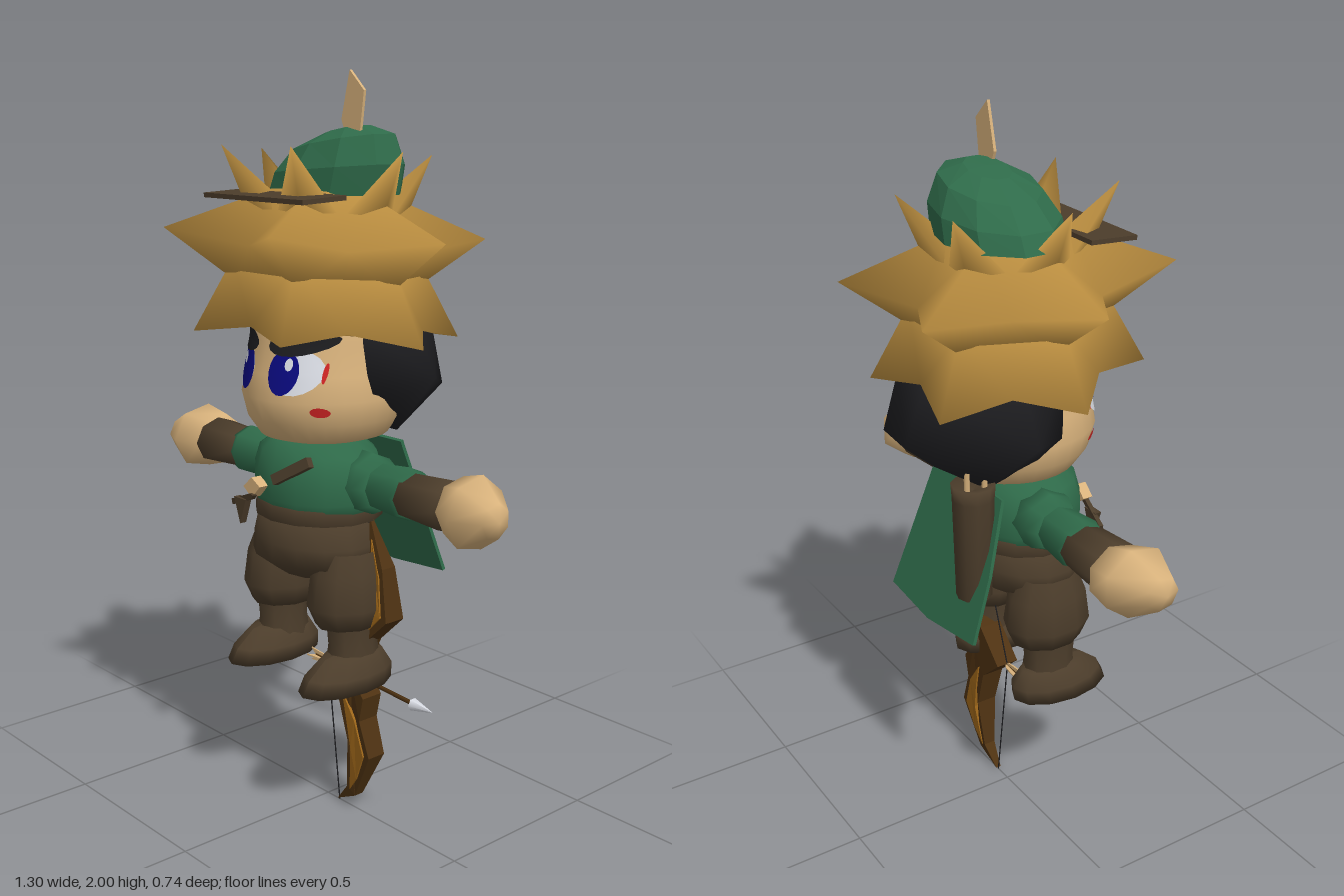
import * as THREE from 'three';
import { ConvexGeometry } from 'three/addons/geometries/ConvexGeometry.js';
import { mergeVertices } from 'three/addons/utils/BufferGeometryUtils.js';

const mat = (name, color) => {
  const m = new THREE.MeshStandardMaterial({ color });
  m.name = name;
  return m;
};
const V = (x, y, z) => new THREE.Vector3(x, y, z);

export function createModel() {
  const M = {
    skin: mat('skin', 0xd8b27c), hair: mat('golden hair', 0xbb8e40), green: mat('green cloth', 0x2f6b4a),
    brown: mat('brown leather', 0x4c3d2b), black: mat('black', 0x1d1d20), navy: mat('iris blue', 0x0a0a80),
    white: mat('pale white', 0xdfe2ea), red: mat('cheek red', 0xd02424), wood: mat('dark bow wood', 0x4e3212),
    amber: mat('amber bow wood', 0xa0681a),
  };
  const model = new THREE.Group();
  const add = (name, geo, material, pos = [0, 0, 0], rot = [0, 0, 0], parent = model) => {
    const m = new THREE.Mesh(geo, material);
    m.name = name;
    m.position.set(...pos);
    m.rotation.set(...rot);
    parent.add(m);
    return m;
  };
  const lathe = (pts, seg = 12, sx = 1, sz = 1) =>
    new THREE.LatheGeometry(pts.map(p => new THREE.Vector2(...p)), seg).scale(sx, 1, sz);
  // Apply a rule to every vertex, then refresh the normals
  const bend = (geo, rule) => {
    const p = geo.attributes.position, v = V(0, 0, 0);
    for (let i = 0; i < p.count; i++) {
      rule(v.fromBufferAttribute(p, i));
      p.setXYZ(i, v.x, v.y, v.z);
    }
    geo.computeVertexNormals();
    return geo;
  };
  // Weld corners so normals blend
  const smooth = (geo) => {
    geo.deleteAttribute('normal');
    geo.deleteAttribute('uv');
    const g = mergeVertices(geo, 1e-4);
    g.computeVertexNormals();
    return g;
  };
  const plate = (pts, depth) => new THREE.ExtrudeGeometry(
    new THREE.Shape(pts.map(p => new THREE.Vector2(...p))), { depth, bevelEnabled: false }).translate(0, 0, -depth / 2);
  const rod = (name, a, b, r, material) => {
    const d = b.clone().sub(a);
    const m = add(name, new THREE.CylinderGeometry(r, r, d.length(), 5), material);
    m.position.copy(a).addScaledVector(d, 0.5);
    m.quaternion.setFromUnitVectors(V(0, 1, 0), d.normalize());
  };

  // Head: full cheeks low down, narrower brow
  const face = [[0, 1.055], [0.11, 1.058], [0.165, 1.075], [0.198, 1.125], [0.212, 1.185], [0.2, 1.25], [0.183, 1.33], [0.175, 1.42], [0.12, 1.52], [0, 1.56]];
  add('head', lathe(face, 28, 1, 1.06), M.skin, [0, 0, 0.013]);
  const faceZ = (x, y) => {
    const i = Math.max(1, face.findIndex(p => p[1] >= y));
    const [r0, y0] = face[i - 1], [r1, y1] = face[i];
    const r = r0 + (r1 - r0) * (y - y0) / (y1 - y0);
    return 0.013 + 1.06 * Math.sqrt(Math.max(0, r * r - x * x));
  };
  // Painted face details hug the head surface
  const paint = (name, x, y, rx, ry, tilt, lift, material) => {
    const g = new THREE.RingGeometry(0, 1, 18, 6).scale(rx, ry, 1).rotateZ(tilt).translate(x, y, 0);
    add(name, bend(g, v => { v.z = faceZ(v.x, v.y) + lift; }), material);
  };
  for (const s of [1, -1]) {
    paint('eyeWhite', s * 0.094, 1.262, 0.062, 0.058, 0, 0.003, M.white);
    paint('iris', s * 0.07, 1.26, 0.04, 0.057, 0, 0.006, M.navy);
    paint('eyeGlint', s * 0.085, 1.282, 0.01, 0.016, 0, 0.008, M.white);
    paint('eyebrow', s * 0.094, 1.335, 0.074, 0.032, s * 0.16, 0.009, M.black);
    paint('eyeCorner', s * 0.157, 1.262, 0.004, 0.026, 0, 0.006, M.red);
    paint('cheekMark', s * 0.154, 1.163, 0.017, 0.013, 0, 0.004, M.red);
  }

  // Dark hair at the back of the head
  const nape = [V(0, 1.18, -0.31), V(0, 1.34, -0.245), V(0, 1.07, -0.15)];
  for (const s of [1, -1]) nape.push(
    V(s * 0.19, 1.37, 0.04), V(s * 0.2, 1.2, 0.04), V(s * 0.3, 1.24, -0.1), V(s * 0.235, 1.37, -0.1),
    V(s * 0.19, 1.15, -0.03), V(s * 0.12, 1.07, -0.14), V(s * 0.13, 1.18, -0.3), V(s * 0.15, 1.33, -0.24));
  add('backHair', smooth(new ConvexGeometry(nape)), M.black);

  // Tiers of six hair spikes; each entry is [radius, height]
  const tier = (name, tip, top, bottom, valley) => {
    const out = [];
    const at = ([r, y], a) => [r * Math.cos(a), y + 0.06 * r * Math.sin(a), r * Math.sin(a)];
    const tri = (...v) => v.forEach(p => out.push(...p));
    const step = Math.PI / 3;
    for (let i = 0; i < 6; i++) {
      const a = i * step;
      const P = at(tip, a), T = at(top, a), B = at(bottom, a), L = at(valley, a + step / 2), R = at(valley, a - step / 2);
      const T2 = at(top, a + step), B2 = at(bottom, a + step);
      tri(T, L, P); tri(P, L, B); tri(T, P, R); tri(B, R, P);
      tri(T, T2, L); tri(L, B2, B);
      tri([0, top[1] + 0.01, 0], T2, T); tri([0, bottom[1] + 0.02, 0], B, B2);
    }
    const g = new THREE.BufferGeometry();
    g.setAttribute('position', new THREE.Float32BufferAttribute(out, 3));
    add(name, smooth(g), M.hair);
  };
  tier('lowerHairSpikes', [0.355, 1.33], [0.25, 1.52], [0.2, 1.345], [0.258, 1.358]);
  tier('middleHairSpikes', [0.425, 1.593], [0.15, 1.7], [0.24, 1.46], [0.26, 1.56]);
  tier('upperHairSpikes', [0.275, 1.805], [0.14, 1.69], [0.2, 1.62], [0.17, 1.635]);

  // Cap leaning to one side, with a brim and a feather
  const cap = lathe([[0, 0], [1, 0], [0.98, 0.06], [0.77, 0.12], [0.36, 0.148], [0, 0.152]], 10, 0.203, 0.153).toNonIndexed();
  add('cap', bend(cap, v => {
    v.x += v.y * 0.32;
    v.y *= 1 + 1.35 * v.x;
  }), M.green, [-0.018, 1.695, -0.038]);
  add('capBrim', new THREE.BoxGeometry(0.41, 0.012, 0.135), M.brown, [0, 1.694, 0.183], [0.05, -0.03, 0]);
  add('feather', plate([[0.08, 1.82], [0.12, 1.82], [0.138, 1.95], [0.085, 2], [0.055, 1.88]], 0.008), M.skin);

  // Tunic, belt and breeches
  add('tunic', lathe([[0, 0.86], [0.185, 0.86], [0.2, 0.91], [0.2, 0.97], [0.18, 1.03], [0.13, 1.065], [0, 1.07]], 14, 0.94, 0.81), M.green, [0, 0, 0.035]);
  add('belt', lathe([[0.165, 0.85], [0.183, 0.855], [0.18, 0.895], [0.165, 0.9]], 14, 1, 0.9), M.brown, [0, 0, 0.035]);
  add('hips', lathe([[0, 0.69], [0.12, 0.695], [0.195, 0.74], [0.19, 0.79], [0.17, 0.87], [0, 0.88]], 14, 1, 0.79), M.brown, [0, 0, 0.045]);
  add('chestStrap', new THREE.BoxGeometry(0.13, 0.028, 0.02), M.brown, [0.07, 1.0, 0.185], [-0.2, 0.15, 0.55]);
  add('pouchClasp', plate([[-0.035, 0], [0, 0.03], [0.035, 0.01], [0, -0.025]], 0.03), M.skin, [-0.055, 0.935, 0.205]);
  add('dagger', plate([[-0.06, -0.008], [0.06, -0.008], [0.075, 0], [0.06, 0.008], [-0.06, 0.008]], 0.012), M.brown, [-0.105, 0.895, 0.21], [0, -0.2, 0.35]);
  add('daggerSheath', plate([[-0.025, 0.03], [0.025, 0.03], [0, -0.04]], 0.02), M.brown, [-0.1, 0.87, 0.215]);

  // Arms and legs, mirrored
  for (const s of [1, -1]) {
    const side = s > 0 ? 'left' : 'right';
    const arm = new THREE.Group();
    arm.name = side + 'Arm';
    arm.position.set(0, 0.96, 0.01);
    arm.rotation.z = -s * Math.PI / 2;
    model.add(arm);
    const limbPart = (name, pts, seg, material, sz = 1) =>
      add(name, lathe(pts, seg, 1, sz), material, [0, 0, 0], [0, 0, 0], arm);
    limbPart('shoulder', [[0, 0.1], [0.085, 0.12], [0.082, 0.19], [0.065, 0.225], [0, 0.225]], 8, M.green);
    limbPart('sleeve', [[0.05, 0.2], [0.06, 0.21], [0.07, 0.32], [0.062, 0.345], [0, 0.345]], 8, M.green);
    limbPart('cuff', [[0, 0.335], [0.058, 0.335], [0.067, 0.48], [0, 0.485]], 8, M.brown, 1.2);
    const hand = smooth(lathe([[0, 0.478], [0.075, 0.48], [0.096, 0.555], [0.045, 0.635], [0, 0.65]], 7, 1, 1.05));
    add('hand', bend(hand, v => { v.z += (v.y - 0.54) * 0.2; }), M.skin, [0, 0, 0], [0, 0, 0], arm);

    const leg = new THREE.Group();
    leg.name = side + 'Leg';
    leg.position.set(s * 0.135, 0, 0.04);
    model.add(leg);
    add('breechesLeg', lathe([[0, 0.58], [0.08, 0.575], [0.1, 0.63], [0.09, 0.72], [0.07, 0.78]], 10, 1, 1.27), M.brown, [0, 0, 0], [0, 0, 0], leg);
    add('bootShaft', lathe([[0.065, 0.43], [0.056, 0.52], [0.062, 0.6]], 10, 1, 1.3), M.brown, [s * 0.012, 0, 0], [0, 0, 0], leg);
    const boot = lathe([[0, 0], [0.085, 0], [0.08, 0.04], [0.055, 0.085], [0, 0.1]], 12, 1, 1.75);
    add('boot', bend(boot, v => { v.z -= v.y * 0.3; }), M.brown, [s * 0.018, 0.41, 0.033], [0, 0, 0], leg);
  }

  // Cape and quiver on the back
  add('cape', plate([[-0.165, 0], [0.16, 0], [0.2, -0.4], [0, -0.415], [-0.22, -0.385], [-0.205, -0.2]], 0.01), M.green, [0, 1.05, -0.12], [0.33, 0, 0]);
  add('quiver', lathe([[0, 0.77], [0.048, 0.775], [0.055, 1.06], [0.058, 1.1], [0, 1.08]], 10), M.brown, [-0.125, 0, -0.185]);
  for (let i = 0; i < 3; i++) {
    const a = i * 2.1;
    add('quiverArrow', new THREE.CylinderGeometry(0.008, 0.008, 0.1, 5), M.skin, [-0.125 + 0.03 * Math.cos(a), 1.11, -0.185 + 0.03 * Math.sin(a)]);
  }

  // Bow limbs narrow in depth toward the tips, with amber inlays
  const limb = (name, pts, depth, material) => add(name, bend(plate(pts, depth),
    v => { v.z *= 1.05 - Math.pow(Math.abs(v.y - 0.43) / 0.45, 3); }), material);
  limb('lowerBowLimb', [[0.05, 0.01], [0.13, 0.05], [0.2, 0.19], [0.165, 0.29], [0.18, 0.36], [0.13, 0.42], [0, 0.415], [0.08, 0.34], [0.115, 0.22], [0.1, 0.07]], 0.064, M.wood);
  limb('lowerBowInlay', [[0.112, 0.065], [0.145, 0.11], [0.18, 0.19], [0.148, 0.29], [0.1, 0.36], [0.115, 0.29], [0.13, 0.2]], 0.072, M.amber);
  limb('upperBowLimb', [[0.13, 0.42], [0.18, 0.52], [0.265, 0.6], [0.24, 0.74], [0.17, 0.87], [0.19, 0.74], [0.18, 0.62], [0.09, 0.5], [0, 0.415]], 0.064, M.wood);
  limb('upperBowInlay', [[0.13, 0.49], [0.245, 0.61], [0.23, 0.72], [0.19, 0.81], [0.202, 0.72], [0.195, 0.62]], 0.072, M.amber);
  rod('lowerBowString', V(0.05, 0.005, 0), V(0, 0.41, 0), 0.002, M.black);
  rod('upperBowString', V(0.17, 0.87, 0), V(0, 0.41, 0), 0.002, M.black);

  // Nocked arrow
  rod('arrowShaft', V(-0.05, 0.41, 0), V(0.38, 0.403, 0.02), 0.006, M.wood);
  add('arrowHead', new THREE.ConeGeometry(0.017, 0.075, 6), M.white, [0.395, 0.403, 0.02], [0, 0, -Math.PI / 2]);
  for (let i = 0; i < 2; i++)
    add('arrowFletching', plate([[-0.07, 0.018], [-0.01, 0.012], [0.01, 0], [-0.01, -0.012], [-0.07, -0.018], [-0.05, 0]], 0.004), M.skin, [0, 0.41, 0], [i * Math.PI / 2, 0, 0]);

  return model;
}
